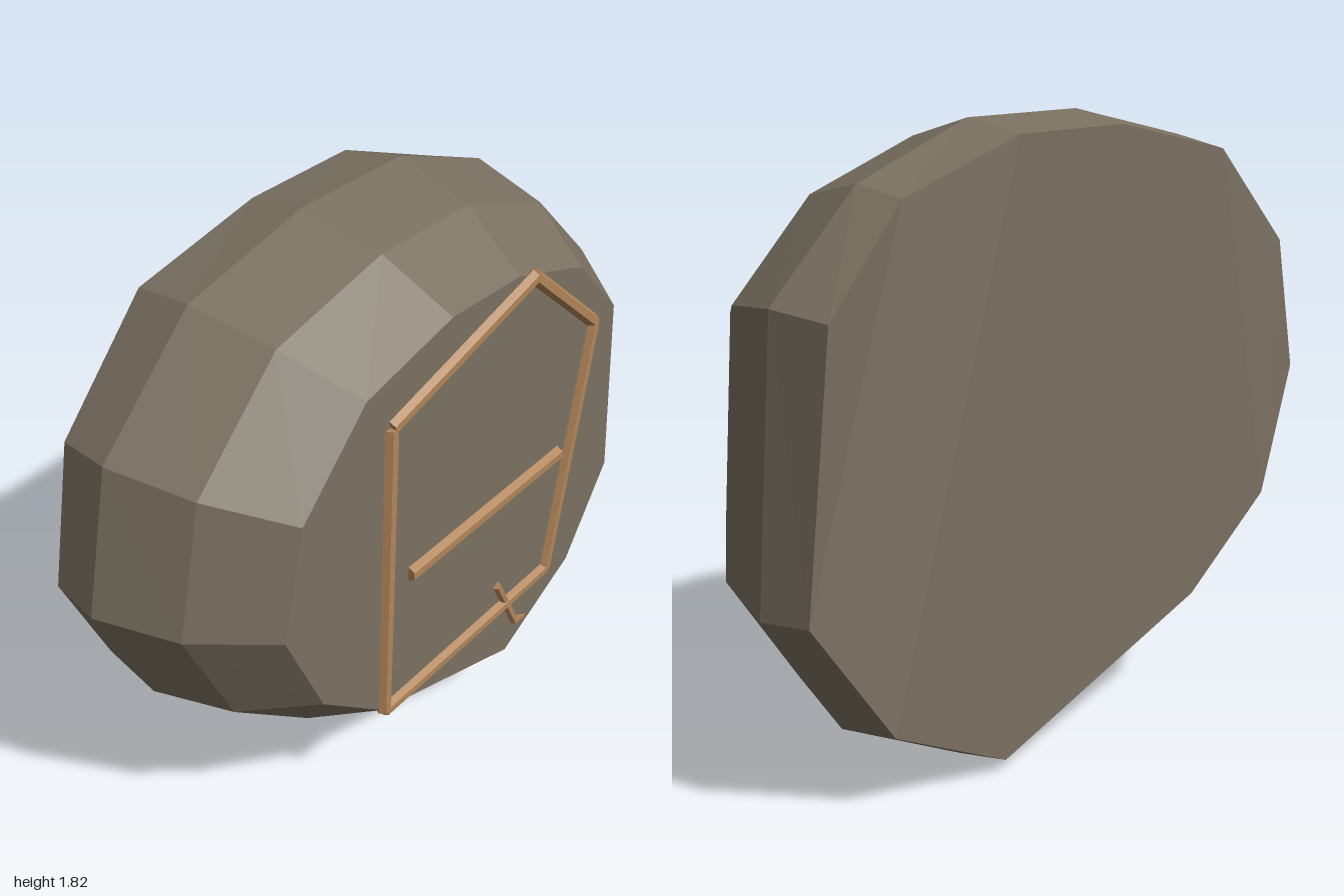
import * as THREE from 'three';

// Widest outline of the boulder, counterclockwise, [x, y]
const OUTER = [[1, 0.58], [0.94, 1.375], [0.66, 1.66], [0.28, 1.81], [-0.13, 1.82], [-0.57, 1.73],
  [-0.9, 1.42], [-1, 0.99], [-0.82, 0.59], [-0.5, 0.31], [0.325, 0], [0.75, 0.21]];
// Outline of the flat front face
const FACE = [[0.79, 0.67], [0.745, 1.285], [0.535, 1.51], [0.22, 1.62], [-0.08, 1.635], [-0.43, 1.56],
  [-0.68, 1.32], [-0.76, 0.99], [-0.62, 0.67], [-0.37, 0.45], [0.265, 0.225], [0.6, 0.39]];
// Uneven depth of the broken back edge
const BACK_Z = [-0.3, -0.335, -0.29, -0.33, -0.325, -0.335, -0.315, -0.305, -0.34, -0.32, -0.32, -0.335];

function stoneGeometry() {
  const n = OUTER.length;
  const rings = [
    FACE.map(([x, y]) => [x, y, 0.317]),
    OUTER.map(([x, y], i) => [
      THREE.MathUtils.lerp(FACE[i][0], x, 0.68), THREE.MathUtils.lerp(FACE[i][1], y, 0.68), 0.11]),
    OUTER.map(([x, y]) => [x, y, -0.14]),
    OUTER.map(([x, y], i) => [x * 0.965, 0.92 + (y - 0.92) * 0.96, BACK_Z[i]]),
  ];
  const pos = rings.flat(2);
  const index = [];
  // Side bands, front to back
  for (let r = 0; r < rings.length - 1; r++) {
    for (let i = 0; i < n; i++) {
      const a = r * n + i, b = r * n + (i + 1) % n;
      index.push(a, a + n, b, b, a + n, b + n);
    }
  }
  // Front cap as a fan
  for (let i = 1; i < n - 1; i++) index.push(0, i, i + 1);
  // Back cap as zigzag strips running from the top edge to the bottom edge
  const base = 3 * n;
  let lo = 0, hi = 1;
  for (let k = 0; k < n - 2; k++) {
    const l = (lo + n) % n;
    if (k % 2 === 0) {
      index.push(base + l, base + hi + 1, base + hi);
      hi++;
    } else {
      index.push(base + l, base + (lo - 1 + n) % n, base + hi);
      lo--;
    }
  }
  const geo = new THREE.BufferGeometry();
  geo.setAttribute('position', new THREE.Float32BufferAttribute(pos, 3));
  geo.setIndex(index);
  const flat = geo.toNonIndexed();
  flat.computeVertexNormals();
  return flat;
}

export function createModel() {
  const model = new THREE.Group();
  model.name = 'markedBoulder';
  const stone = new THREE.MeshStandardMaterial({ color: 0x7a7060, flatShading: true });
  stone.name = 'stone';
  const wood = new THREE.MeshStandardMaterial({ color: 0xb08458, flatShading: true });
  wood.name = 'wood';

  const boulder = new THREE.Mesh(stoneGeometry(), stone);
  boulder.name = 'boulder';
  model.add(boulder);

  // Six-sided rod between two points, one flat side towards the front
  function rod(name, from, to, radius, parent) {
    const a = new THREE.Vector3(...from), b = new THREE.Vector3(...to);
    const dir = b.clone().sub(a);
    const geo = new THREE.CylinderGeometry(radius, radius, dir.length(), 6);
    geo.rotateY(Math.PI / 6);
    const mesh = new THREE.Mesh(geo, wood);
    const y = dir.normalize();
    const x = y.clone().cross(new THREE.Vector3(0, 0, 1)).normalize();
    const z = x.clone().cross(y);
    mesh.quaternion.setFromRotationMatrix(new THREE.Matrix4().makeBasis(x, y, z));
    mesh.position.copy(a).add(b).multiplyScalar(0.5);
    mesh.name = name;
    parent.add(mesh);
  }

  // Five-sided frame on the front face
  const frame = new THREE.Group();
  frame.name = 'frame';
  model.add(frame);
  const corners = [[-0.335, 1.43], [0.29, 1.59], [0.625, 1.29], [0.46, 0.445], [-0.36, 0.445]];
  corners.forEach(([x, y], i) => {
    const [x2, y2] = corners[(i + 1) % corners.length];
    rod('frameBar' + (i + 1), [x, y, 0.317], [x2, y2, 0.317], 0.022, frame);
  });

  // Crossbar in the middle of the frame
  rod('crossbar', [-0.25, 0.887, 0.317], [0.485, 0.887, 0.317], 0.024, model);

  // Bent twig over the lower bar, dipping into the stone at its tip
  const twig = new THREE.Group();
  twig.name = 'twig';
  model.add(twig);
  rod('twigUpper', [0.19, 0.55, 0.32], [0.3, 0.33, 0.322], 0.015, twig);
  rod('twigLower', [0.3, 0.33, 0.322], [0.41, 0.275, 0.295], 0.014, twig);

  return model;
}
